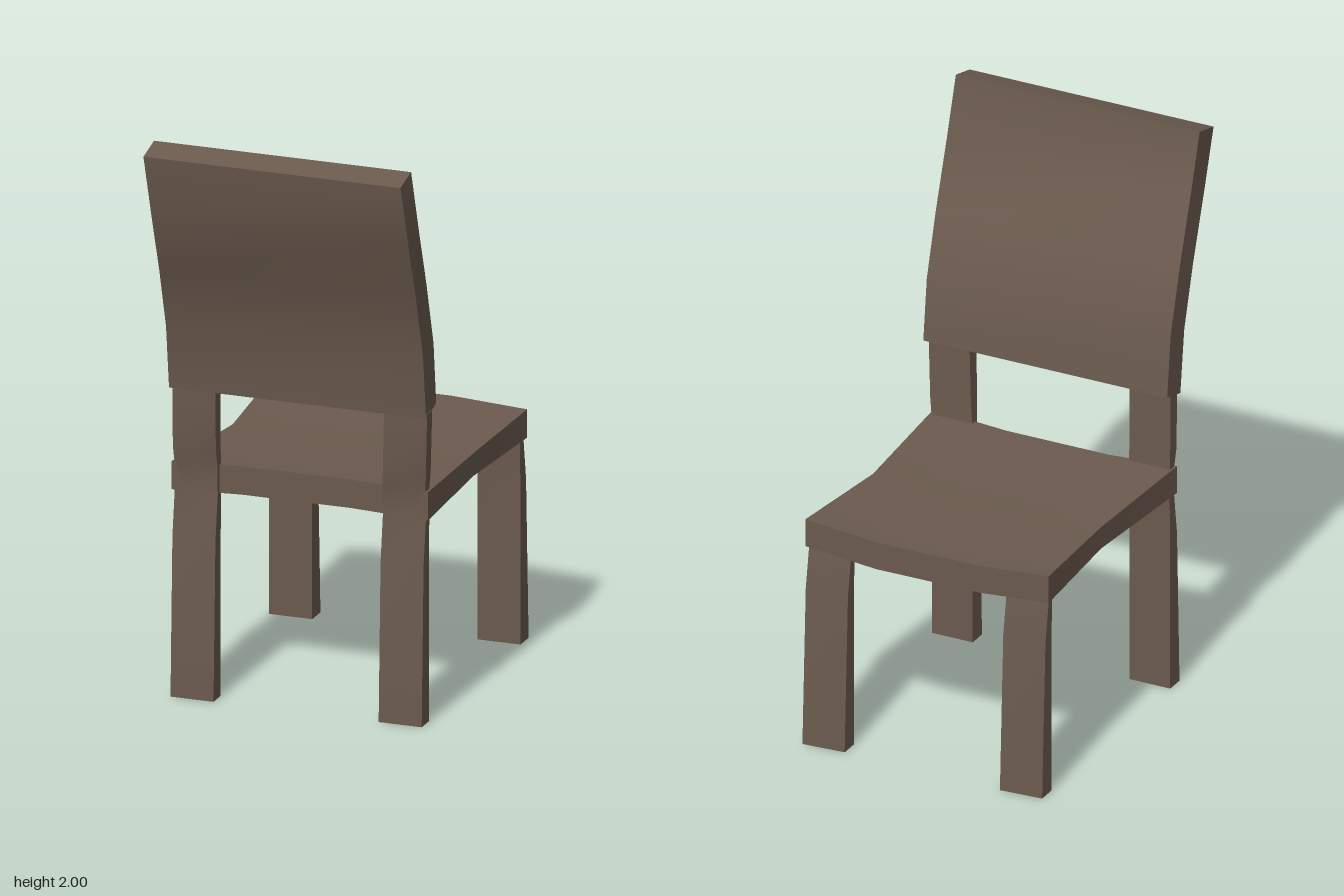
import * as THREE from 'three';
import { toCreasedNormals } from 'three/addons/utils/BufferGeometryUtils.js';

// Closed solid through a stack of rings (each counter-clockwise about the stacking axis)
function loft(rings) {
  const n = rings[0].length, index = [], last = (rings.length - 1) * n;
  for (let s = 0; s < rings.length - 1; s++) {
    for (let i = 0; i < n; i++) {
      const a = s * n + i, b = s * n + (i + 1) % n;
      index.push(a, b, b + n, a, b + n, a + n);
    }
  }
  for (let i = 1; i < n - 1; i++) {
    index.push(0, i + 1, i, last, last + i, last + i + 1);
  }
  const geo = new THREE.BufferGeometry();
  geo.setAttribute('position', new THREE.Float32BufferAttribute(rings.flat(2), 3));
  geo.setIndex(index);
  return toCreasedNormals(geo, 0.6);
}

export function createModel() {
  const group = new THREE.Group();
  const wood = new THREE.MeshStandardMaterial({ color: 0x6b5a4e });
  wood.name = 'brown wood';
  const add = (name, rings) => {
    const mesh = new THREE.Mesh(loft(rings), wood);
    mesh.name = name;
    group.add(mesh);
  };

  // Backrest: bent panel, rows of [outer z, outer y, inner z, inner y, sideways shift]
  add('backrest', [
    [0.375, 1.085, 0.28, 1.11, 0],
    [0.403, 1.31, 0.305, 1.33, 0],
    [0.467, 1.53, 0.37, 1.555, 0],
    [0.58, 1.76, 0.48, 1.78, 0.015],
    [0.615, 1.975, 0.515, 2.0, 0],
  ].map(([zo, yo, zi, yi, dx]) => [
    [0.45 + dx, yo, zo], [0.45 + dx, yi, zi], [-0.47 + dx, yi, zi], [-0.47 + dx, yo, zo],
  ]));

  // Seat: dished top, waisted sides, bowed front; columns of [x, waist x, back z, front z]
  add('seat', [
    [-0.468, -0.435, 0.355, -0.572],
    [-0.23, -0.22, 0.325, -0.61],
    [0.16, 0.155, 0.325, -0.615],
    [0.45, 0.425, 0.355, -0.572],
  ].map(([x, xm, zb, zf]) => [
    [xm, 0.8, -0.13], [x, 0.82, zb], [x, 0.72, zb],
    [xm, 0.72, -0.13], [x, 0.72, zf], [x, 0.82, zf],
  ]));

  // Legs: rows of [y, back z, front z, sideways shift]
  const leg = (name, x, rows, skew) => add(name, rows.map(([y, zb, zf, dx = 0]) => [
    [x + 0.077 + dx, y, zb], [x + 0.077 + dx, y, zf],
    [x - 0.077 + dx, y, zf + skew], [x - 0.077 + dx, y, zb],
  ]));
  for (const [side, x, lean] of [['Left', 0.363, 0.013], ['Right', -0.382, 0]]) {
    leg('frontLeg' + side, x, [
      [0, -0.535, -0.612], [0.57, -0.535, -0.588], [0.74, -0.528, -0.56],
    ], 0.01);
    leg('backLeg' + side, x, [
      [0, 0.39, 0.323], [0.56, 0.372, 0.323], [0.72, 0.35, 0.318],
      [0.82, 0.353, 0.32], [0.88, 0.368, 0.323, lean * 0.5], [1.1, 0.373, 0.325, lean],
    ], 0);
  }
  return group;
}
